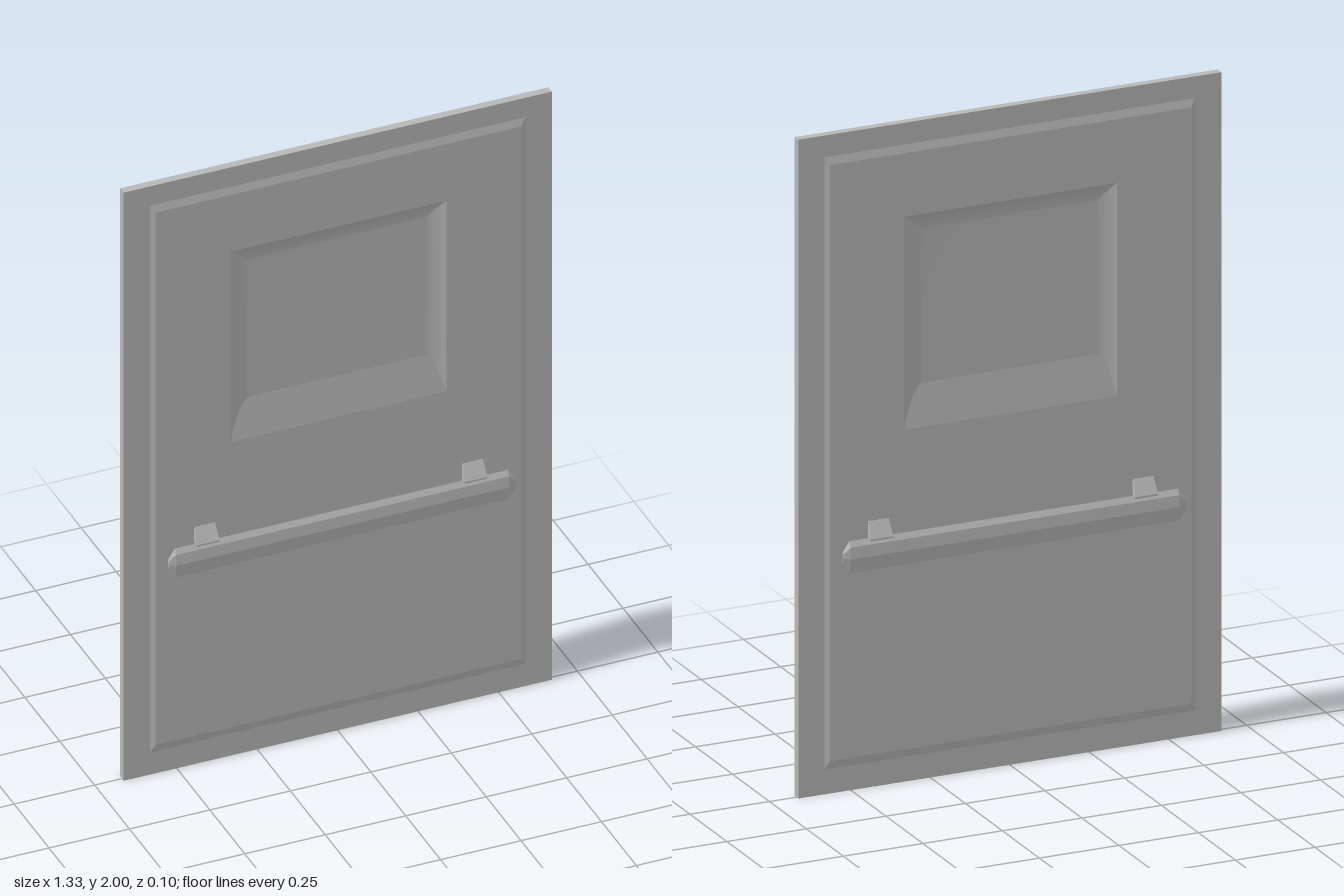
import * as THREE from 'three';
import { toCreasedNormals } from 'three/addons/utils/BufferGeometryUtils.js';
import { ConvexGeometry } from 'three/addons/geometries/ConvexGeometry.js';

// Rectangular loops [halfWidth, yBottom, yTop, z] joined from the outside in, last one capped
function loopSurface(loops) {
  const corners = loops.map(([w, y0, y1, z]) => [[-w, y0, z], [w, y0, z], [w, y1, z], [-w, y1, z]]);
  const pos = [];
  const quad = (a, b, c, d) => pos.push(...a, ...b, ...c, ...a, ...c, ...d);
  for (let k = 0; k < corners.length - 1; k++) {
    const a = corners[k], b = corners[k + 1];
    for (let i = 0; i < 4; i++) {
      const j = (i + 1) % 4;
      quad(a[i], a[j], b[j], b[i]);
    }
  }
  quad(...corners[corners.length - 1]);
  const geo = new THREE.BufferGeometry();
  geo.setAttribute('position', new THREE.Float32BufferAttribute(pos, 3));
  return toCreasedNormals(geo, 0.1);
}

// One face of the door: slab edge, raised field, then a recess with hollowed sides and a flat sill
function doorFace() {
  const loops = [
    [0.665, 0, 2, 0],
    [0.665, 0, 2, 0.0125],
    [0.583, 0.075, 1.934, 0.0125],
    [0.568, 0.1, 1.91, 0.018],
  ];
  const steps = 8;
  for (let i = 0; i <= steps; i++) {
    const t = i / steps;
    const hollow = 1 - (1 - t) ** 2; // depth reached at inset t
    loops.push([0.335 - 0.067 * t, 1.07 + 0.13 * hollow, 1.717 - 0.057 * t, 0.018 - 0.014 * hollow]);
  }
  return loopSurface(loops);
}

// Blade-like handle bar with tapered ends
function barGeometry() {
  const section = [[0.038, 0.767], [0.047, 0.75], [0.05, 0.715], [0.044, 0.672], [0.036, 0.7], [0.034, 0.745]];
  const points = [];
  for (const s of [-1, 1]) {
    for (const [z, y] of section) {
      points.push(new THREE.Vector3(s * 0.517, y, z));
      points.push(new THREE.Vector3(s * 0.539, 0.72 + (y - 0.72) * 0.35, 0.042 + (z - 0.042) * 0.35));
    }
  }
  return new ConvexGeometry(points);
}

// Sloping arm from the door to the bar, slightly wider at the bar: [z, y, halfWidth]
function bracketGeometry() {
  const profile = [
    [0.012, 0.81, 0.032], [0.019, 0.81, 0.032], [0.043, 0.763, 0.036],
    [0.043, 0.742, 0.036], [0.035, 0.742, 0.036], [0.012, 0.782, 0.032],
  ];
  const points = [];
  for (const [z, y, w] of profile) for (const s of [-1, 1]) points.push(new THREE.Vector3(s * w, y, z));
  return new ConvexGeometry(points);
}

export function createModel() {
  const model = new THREE.Group();
  model.name = 'door';
  const grey = new THREE.MeshStandardMaterial({ color: 0xb8b8b8 });
  grey.name = 'grey';

  const face = doorFace(), bar = barGeometry(), bracket = bracketGeometry();
  const add = (parent, geo, name, x = 0) => {
    const mesh = new THREE.Mesh(geo, grey);
    mesh.name = name;
    mesh.position.x = x;
    parent.add(mesh);
  };

  // Identical front and back halves
  for (const [name, turn] of [['front', 0], ['back', Math.PI]]) {
    const half = new THREE.Group();
    half.name = name + 'Half';
    half.rotation.y = turn;
    add(half, face, name + 'Panel');
    add(half, bar, name + 'HandleBar');
    add(half, bracket, name + 'BracketA', -0.416);
    add(half, bracket, name + 'BracketB', 0.416);
    model.add(half);
  }
  return model;
}
